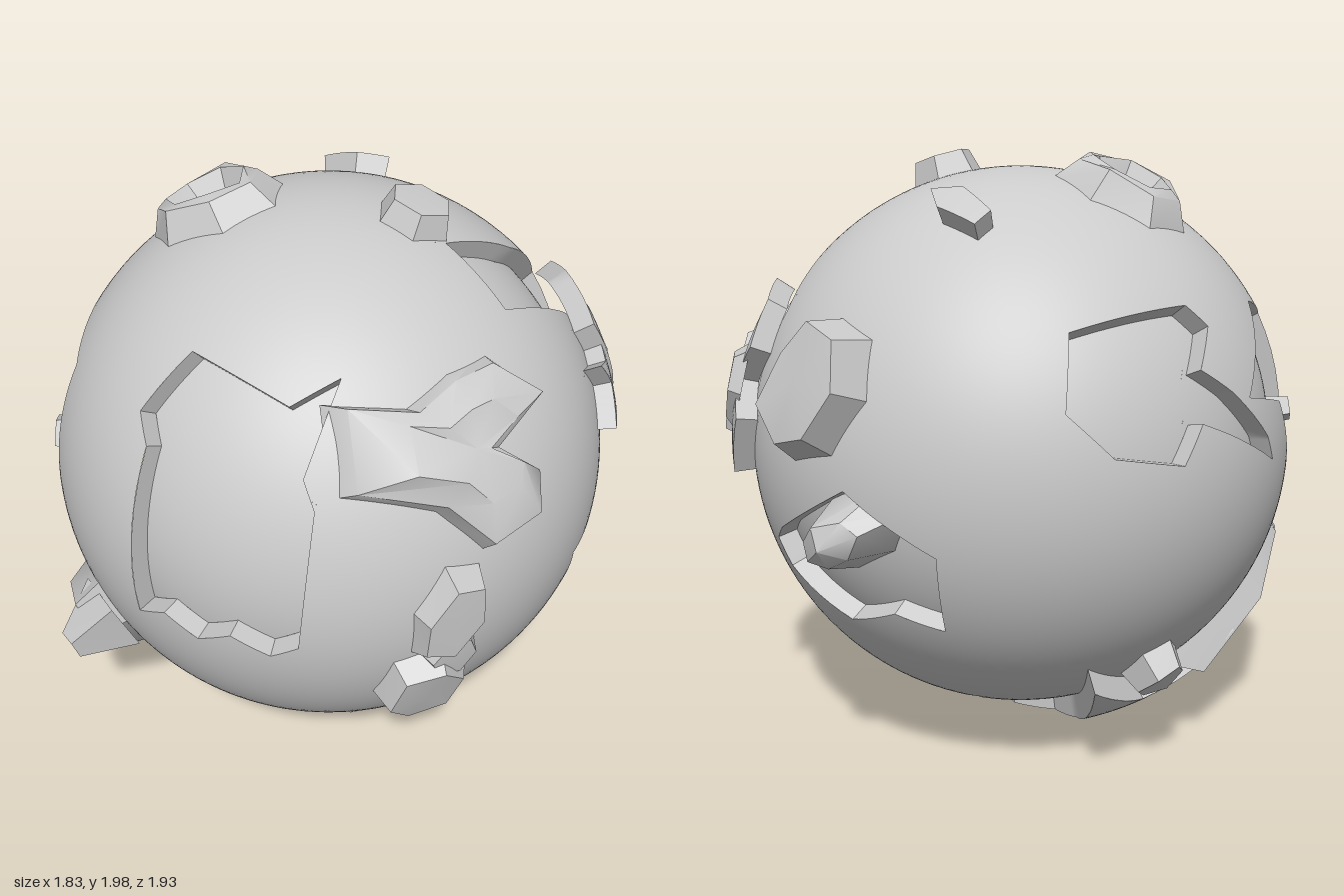
import * as THREE from 'three';
import { toCreasedNormals } from 'three/addons/utils/BufferGeometryUtils.js';

const R = 0.915, DEPTH = -0.065;
const grey = new THREE.MeshStandardMaterial({ color: 0xcccccc });
const rad = THREE.MathUtils.degToRad;

// Planes for laying out outlines: azimuth, elevation, origin and signs of both axes
const PLANES = {
  front: [0, 0, 0, 1.02, 1, 1],       // x, y
  right: [90, 0, 0.035, 1.02, -1, 1], // z, y
  top: [0, 90, 0, 0.035, 1, -1],      // x, z
  bottom: [0, -90, 0, 0.035, 1, 1],   // x, z
  backLeft: [218, 25, 0, 0, 1, 1],
  backRight: [142, -30, 0, 0, 1, 1],
};

// Unit direction of a point laid out on one of the planes
function direction(plane, a, b) {
  const [az, el, a0, b0, sa, sb] = PLANES[plane];
  const u = (a - a0) * sa, v = (b - b0) * sb;
  const w = Math.sqrt(Math.max(0, R * R - u * u - v * v));
  return new THREE.Vector3(u, v, w).normalize().applyEuler(new THREE.Euler(rad(-el), rad(az), 0, 'YXZ'));
}

// Oval outline
function blob(a, b, ra, rb, sides, tilt = 0) {
  return Array.from({ length: sides }, (_, i) => {
    const t = i / sides * Math.PI * 2;
    const p = new THREE.Vector2(ra * Math.cos(t), rb * Math.sin(t)).rotateAround(new THREE.Vector2(), rad(tilt));
    return [a + p.x, b + p.y];
  });
}

// Toothed line between two points
function zigzag([a0, b0], [a1, b1], teeth, size) {
  return Array.from({ length: teeth * 2 + 1 }, (_, i) => {
    const t = i / (teeth * 2);
    return [a0 + (a1 - a0) * t, b0 + (b1 - b0) * t + (i % 2 ? size : 0)];
  });
}

// Outline on the ball, turned counter-clockwise as seen from outside
function outline(plane, pts) {
  const dirs = pts.map(([a, b]) => direction(plane, a, b));
  const mid = dirs.reduce((s, d) => s.add(d), new THREE.Vector3()).normalize();
  const ex = new THREE.Vector3(0.31, 0.17, 0.93).cross(mid).normalize();
  const ey = mid.clone().cross(ex);
  const flatten = d => new THREE.Vector2(d.dot(ex), d.dot(ey)).divideScalar(d.dot(mid));
  if (THREE.ShapeUtils.area(dirs.map(flatten)) < 0) dirs.reverse();
  const tris = THREE.ShapeUtils.triangulateShape(dirs.map(flatten), []).map(f => f.map(i => dirs[i]));
  const reach = Math.cos(Math.max(...dirs.map(d => d.angleTo(mid))) + 0.08);
  return { dirs, mid, tris, reach };
}

// Split a convex spherical polygon by a plane through the centre
function split(poly, n) {
  const inside = [], outside = [];
  poly.forEach((p, i) => {
    const q = poly[(i + 1) % poly.length], dp = p.dot(n), dq = q.dot(n);
    if (dp >= -1e-9) inside.push(p);
    if (dp <= 1e-9) outside.push(p);
    if (dp * dq < 0 && Math.min(Math.abs(dp), Math.abs(dq)) > 1e-9) {
      const x = p.clone().lerp(q, dp / (dp - dq)).normalize();
      inside.push(x);
      outside.push(x);
    }
  });
  return [inside, outside].map(a => (a.length > 2 ? a : null));
}

const at = (d, h) => d.clone().multiplyScalar(R + h);
const push = (out, ...vs) => vs.forEach(v => out.push(v.x, v.y, v.z));
const quad = (out, a, b, c, d) => push(out, a, b, c, a, c, d);
const fan = (out, poly, h) => {
  for (let i = 1; i + 1 < poly.length; i++) push(out, at(poly[0], h), at(poly[i], h), at(poly[i + 1], h));
};

function addMesh(group, name, positions, round) {
  let geo = new THREE.BufferGeometry().setAttribute('position', new THREE.Float32BufferAttribute(positions, 3));
  if (round) {
    geo.setAttribute('normal', geo.attributes.position.clone());
    geo.normalizeNormals();
  } else geo = toCreasedNormals(geo, 0.6);
  const mesh = new THREE.Mesh(geo, grey);
  mesh.name = name;
  group.add(mesh);
}

// Shell cut along the outlines, so that sunk and raised areas have clean rims
function addShell(group, areas) {
  const shell = [];
  const ball = new THREE.IcosahedronGeometry(1, 26).attributes.position;
  for (let i = 0; i < ball.count; i += 3) {
    let pieces = [[0, 1, 2].map(k => new THREE.Vector3().fromBufferAttribute(ball, i + k).normalize())];
    const first = pieces[0][0];
    for (const area of areas.filter(a => first.dot(a.mid) > a.reach)) {
      for (const t of area.tris) {
        pieces = pieces.flatMap(piece => {
          const rest = [];
          let inside = piece;
          for (let k = 0; k < 3 && inside; k++) {
            const [kept, cut] = split(inside, t[k].clone().cross(t[(k + 1) % 3]).normalize());
            if (cut) rest.push(cut);
            inside = kept;
          }
          if (!inside) return [piece];
          fan(area.surface, inside, area.h);
          return rest;
        });
      }
    }
    pieces.forEach(p => fan(shell, p, 0));
  }
  addMesh(group, 'shell', shell, true);

  // Faces and steep sides of the areas
  for (const { name, h, dirs, surface } of areas) {
    addMesh(group, name, surface, true);
    const sides = [], steps = 6;
    dirs.forEach((a, i) => {
      const b = dirs[(i + 1) % dirs.length];
      for (let k = 0; k < steps; k++) {
        const [p, q] = [k, k + 1].map(s => a.clone().lerp(b, s / steps).normalize());
        quad(sides, at(p, 0), at(q, 0), at(q, h), at(p, h));
      }
    });
    addMesh(group, name + 'Sides', sides);
  }
}

export function createModel() {
  const model = new THREE.Group();
  const body = new THREE.Group();
  body.name = 'rockyBall';
  body.position.set(0, 1.02, 0.035);
  model.add(body);

  // Sunk areas
  const areas = [];
  const area = (name, plane, h, pts) => areas.push({ name, h, surface: [], ...outline(plane, pts) });
  area('frontRecess', 'front', DEPTH, [...zigzag([-0.1, 0.89], [0.35, 0.89], 2, 0.06),
    [0.43, 0.94], [0.43, 1.4], [0.38, 1.48], [0.37, 1.7], [0.28, 1.64], [-0.06, 1.7], [-0.16, 1.53], [-0.1, 1.46]]);
  area('sideRecess', 'front', DEPTH,
    [[-0.69, 1.51], [-0.58, 1.44], [-0.61, 1.03], [-0.64, 0.91], [-0.77, 0.93], [-0.83, 1.2], [-0.88, 1.25]]);
  area('backSideRecess', 'backLeft', DEPTH, [[0.22, 0.1], [0.55, 0.25], [0.62, 0.2], [0.6, 0.05], [0.7, 0.01], [0.82, -0.08],
    [0.84, -0.14], [0.7, -0.12], [0.61, -0.11], [0.56, -0.24], [0.36, -0.25], [0.22, -0.14]]);
  area('lowerFrontPit', 'front', DEPTH, blob(0.03, 0.305, 0.15, 0.12, 6, 5));
  area('rightRecess', 'right', DEPTH,
    [[-0.03, 0.91], [-0.4, 0.92], [-0.5, 0.95], [-0.57, 0.9], [-0.53, 0.7], [-0.39, 0.45], [-0.02, 0.41], [0.04, 0.49], [-0.09, 0.69]]);
  area('upperRightRecess', 'top', DEPTH,
    [[0.38, -0.66], [0.5, -0.74], [0.6, -0.52], [0.63, -0.3], [0.59, -0.03], [0.36, -0.06], [0.43, -0.36]]);
  area('lowerBackRecess', 'backRight', DEPTH,
    [[0.28, 0.19], [0.36, 0.23], [0.67, 0.3], [0.82, 0.02], [0.73, -0.22], [0.67, -0.11], [0.5, -0.11], [0.3, 0.09]]);
  area('bottomPit', 'bottom', DEPTH, [[0.15, -0.28], [0, -0.36], [-0.19, -0.36], [-0.12, -0.22], [-0.14, -0.06], [0.06, 0]]);

  // Raised areas
  area('bottomPlate', 'bottom', 0.085, [[-0.43, 0.5], ...zigzag([-0.2, 0.22], [0.2, 0.2], 2, -0.06), [0.27, 0.32], [0.36, 0.2],
    ...zigzag([0.3, 0.04], [-0.3, -0.02], 2, 0.05), [-0.6, -0.28], [-0.55, 0], [-0.62, 0.36]]);
  area('topShard', 'top', 0.065, blob(-0.2, -0.42, 0.13, 0.05, 5, 5));
  area('forkedBlock', 'right', 0.06, [[-0.28, 1.42], [-0.37, 1.38], [-0.44, 1.41], [-0.42, 1.23], [-0.28, 1.22], [-0.36, 1.32]]);
  area('backRightPlate', 'backRight', 0.07, [[-0.26, 0.65], [-0.28, 0.77], [-0.04, 0.82], [0.11, 0.79], [0.17, 0.7], [0.08, 0.63],
    [0.19, 0.54], [0.11, 0.39], [0.05, 0.51], [-0.02, 0.42], [-0.17, 0.48]]);
  addShell(body, areas);

  // Rocks built from shrinking rings of [scale, height], with seeded roughness
  let seed = 7;
  const random = () => (seed = (seed * 16807) % 2147483647) / 2147483647 - 0.5;
  const rock = (name, plane, pts, rough, rings) => {
    const { dirs, mid } = outline(plane, pts);
    const loops = rings.map(([s, h], r) => dirs.map(d =>
      at(mid.clone().lerp(d, s).normalize(), h + (r && s ? rough * random() : 0))));
    const out = [];
    loops.slice(1).forEach((hi, r) => dirs.forEach((_, i) => {
      const j = (i + 1) % dirs.length, lo = loops[r];
      if (rings[r + 1][0]) quad(out, lo[i], lo[j], hi[j], hi[i]);
      else push(out, lo[i], lo[j], hi[0]);
    }));
    addMesh(body, name, out);
  };
  const mound = (h, base = -0.01) => [[1, base], [0.72, h], [0, h]];

  rock('craterCone', 'top', blob(-0.35, 0.13, 0.23, 0.21, 7), 0.03, [[1, -0.01], [0.68, 0.08], [0.52, 0.08], [0.4, 0], [0, 0]]);
  rock('topKnob', 'top', blob(0.24, -0.07, 0.12, 0.12, 6), 0, mound(0.075));
  rock('rightFrontRock', 'right', [[0.71, 1.43], [0.6, 1.65], [0.46, 1.63], [0.3, 1.68], [0.15, 1.68], [0.05, 1.55], [0.3, 1.48],
    [0.18, 1.35], [0.24, 1.23], [0.43, 1.2], [0.53, 1.36]], 0.04, [[1, -0.02], [0.82, 0.055], [0.45, 0.085], [0, 0.065]]);
  rock('rightUpperBoulder', 'right', blob(0.535, 1.03, 0.1, 0.19, 6, 15), 0.03, mound(0.07));
  rock('rightMiddleBoulder', 'right', blob(0.52, 0.87, 0.08, 0.11, 6), 0.02, mound(0.055));
  rock('rightLowerBoulder', 'right', blob(0.55, 0.73, 0.12, 0.18, 6, -20), 0.03, mound(0.07));
  rock('lowerFrontRock', 'front', blob(-0.45, 0.55, 0.18, 0.28, 7, -28), 0.03, mound(0.1));
  rock('lowerFrontPeak', 'front', blob(-0.36, 0.63, 0.14, 0.17, 5, -20), 0.02, [[1, 0.02], [0.3, 0.19], [0, 0.19]]);
  rock('backRock', 'backLeft', blob(-0.51, -0.05, 0.16, 0.23, 7, -20), 0.04, mound(0.11));
  rock('lowerBackRock', 'backRight', blob(0.63, 0.17, 0.16, 0.13, 7), 0.02, [[1, DEPTH], [0.5, 0.07], [0, 0.11]]);
  rock('backRightRock', 'right', blob(-0.67, 1.2, 0.09, 0.15, 6), 0.01, mound(0.095, 0.06));
  rock('upperRightRock', 'top', blob(0.63, -0.61, 0.08, 0.18, 6, -33), 0.02, mound(0.085));
  rock('bottomRidge', 'bottom', blob(0, 0.13, 0.22, 0.06, 6), 0, mound(0.105, 0.07));
  rock('bottomLeftRock', 'bottom', blob(-0.64, -0.03, 0.09, 0.1, 6), 0.02, mound(0.085));
  rock('recessStud', 'front', blob(-0.705, 1.125, 0.075, 0.055, 4), 0, mound(0.01, DEPTH));
  rock('recessSpike', 'right', blob(-0.26, 0.56, 0.07, 0.07, 3, 90), 0, mound(-0.01, DEPTH));
  return model;
}
